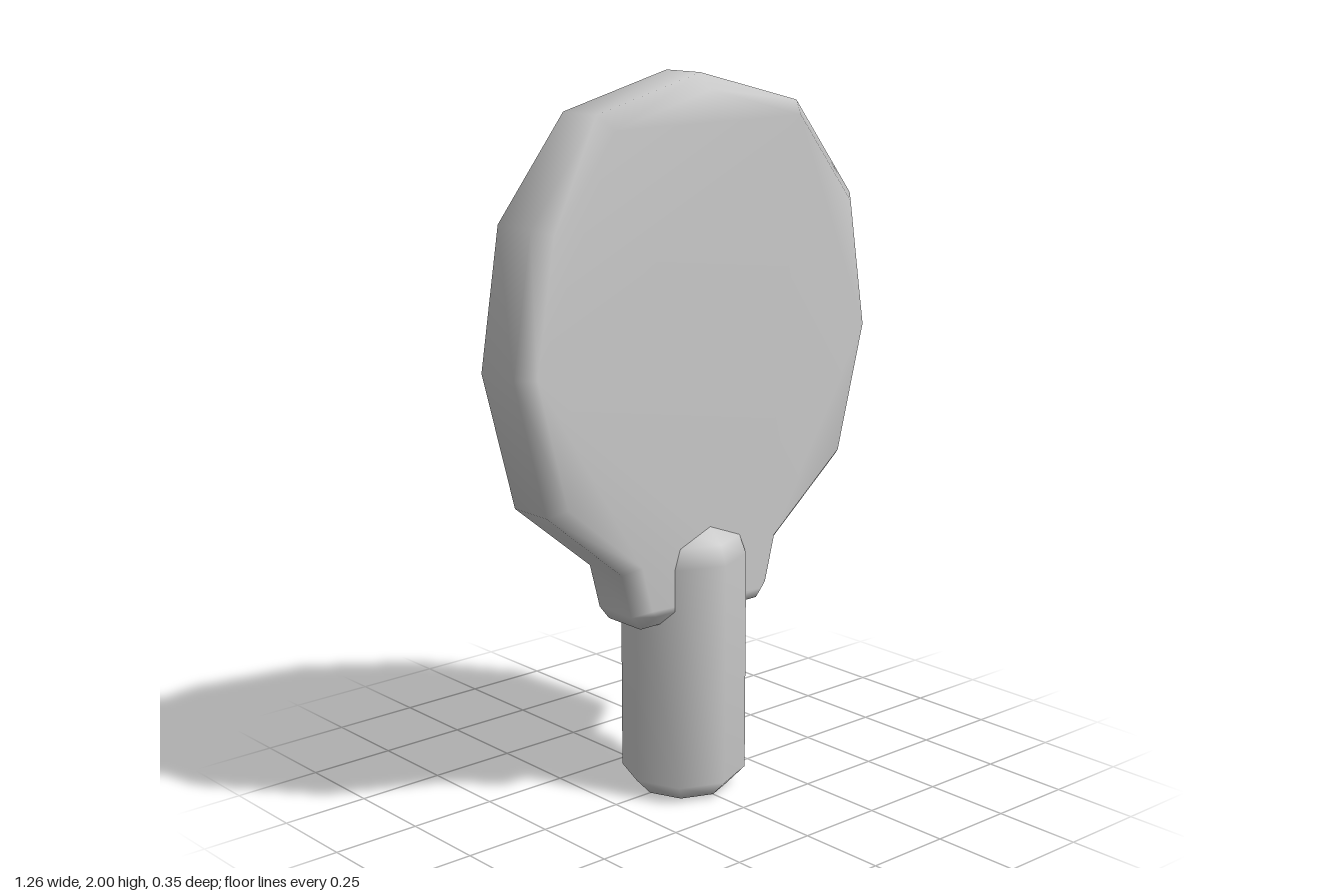
import * as THREE from 'three';

const material = new THREE.MeshStandardMaterial({ color: 0xcccccc });

// Moves each corner of a counter-clockwise outline inward by a fixed distance
function insetOutline(pts, d) {
  const n = pts.length;
  return pts.map((p, i) => {
    const a = p.clone().sub(pts[(i + n - 1) % n]).normalize();
    const b = pts[(i + 1) % n].clone().sub(p).normalize();
    const na = new THREE.Vector2(-a.y, a.x), nb = new THREE.Vector2(-b.y, b.x);
    return na.clone().add(nb).multiplyScalar(d / (1 + na.dot(nb))).add(p);
  });
}

// Bevelled slab with shared vertices, so the rim shades smoothly
function bladeGeometry() {
  const half = [
    [0.215, 0.52], [0.247, 0.56], [0.28, 0.685], [0.53, 0.89],
    [0.628, 1.265], [0.567, 1.64], [0.352, 1.91],
  ];
  const outline = [...half, [0, 2], ...half.map(([x, y]) => [-x, y]).reverse()]
    .map(([x, y]) => new THREE.Vector2(x, y));
  const inner = insetOutline(outline, 0.042);
  const rings = [[inner, -0.11], [outline, -0.067], [outline, 0.067], [inner, 0.11]];
  const n = outline.length, positions = [], index = [];

  rings.forEach(([ring, z]) => ring.forEach(p => positions.push(p.x, p.y, z)));
  // Rim bands
  for (let r = 0; r < 3; r++) {
    for (let i = 0; i < n; i++) {
      const j = (i + 1) % n, a = r * n + i, b = r * n + j;
      index.push(a, b, b + n, a, b + n, a + n);
    }
  }
  // Front and back faces
  for (const [a, b, c] of THREE.ShapeUtils.triangulateShape(inner, [])) {
    index.push(a + 3 * n, b + 3 * n, c + 3 * n, c, b, a);
  }
  const geometry = new THREE.BufferGeometry();
  geometry.setAttribute('position', new THREE.Float32BufferAttribute(positions, 3));
  geometry.setIndex(index);
  geometry.computeVertexNormals();
  return geometry;
}

// Eight-sided grip with a chamfered foot and a domed top
function handleGeometry() {
  const profile = [
    [0, 0], [0.125, 0], [0.174, 0.05], [0.174, 0.68],
    [0.155, 0.735], [0.11, 0.778], [0, 0.79],
  ].map(([x, y]) => new THREE.Vector2(x, y));
  return new THREE.LatheGeometry(profile, 8);
}

export function createModel() {
  const group = new THREE.Group();
  group.name = 'paddle';
  const parts = { blade: bladeGeometry(), handle: handleGeometry() };
  for (const [name, geometry] of Object.entries(parts)) {
    const mesh = new THREE.Mesh(geometry, material);
    mesh.name = name;
    group.add(mesh);
  }
  return group;
}
